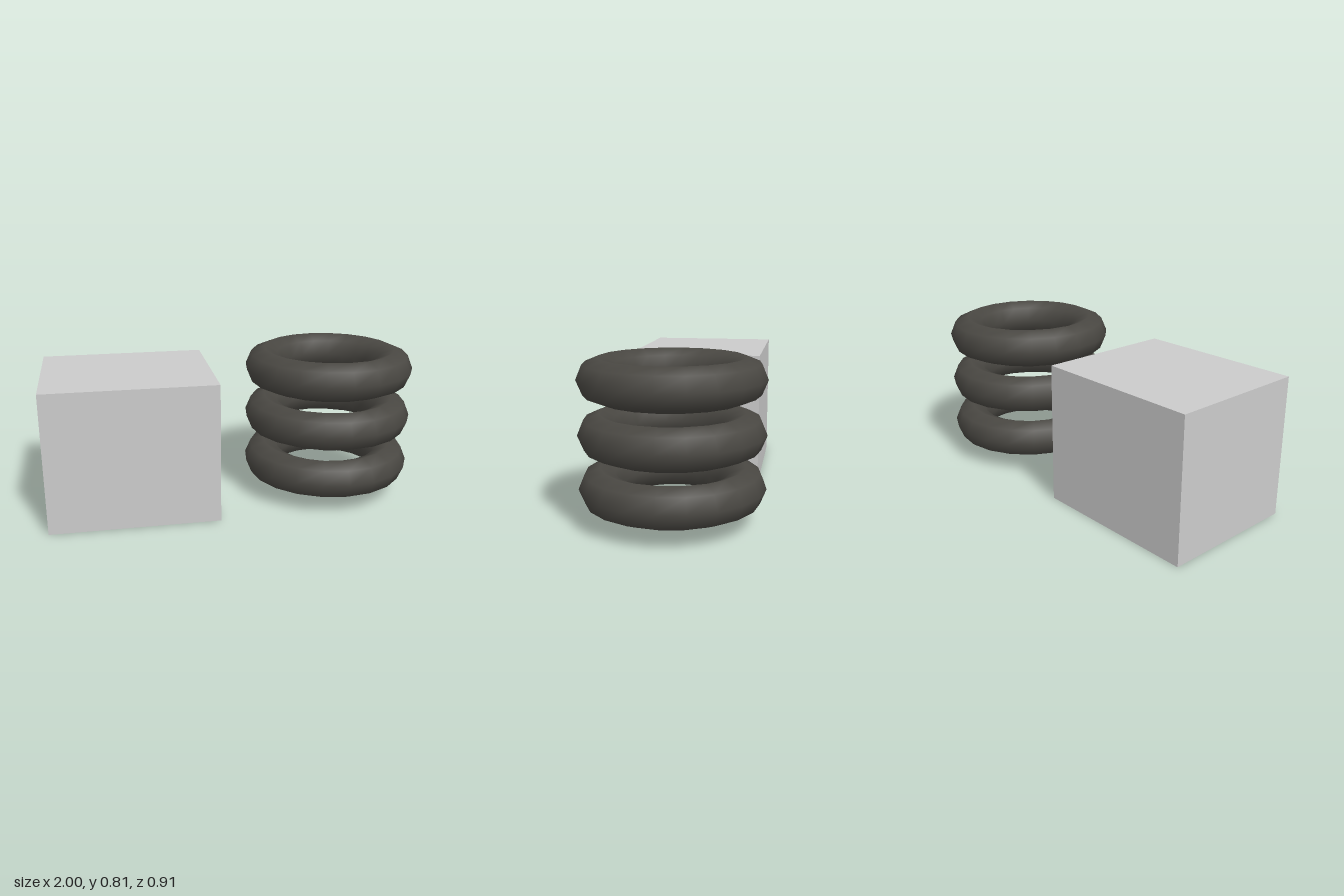
import * as THREE from 'three';

export function createModel() {
  const model = new THREE.Group();

  // Plain block on the model's right
  const block = new THREE.Mesh(
    new THREE.BoxGeometry(0.88, 0.736, 0.736),
    new THREE.MeshStandardMaterial({ color: 0xcccccc })
  );
  block.name = 'block';
  block.position.set(-0.56, 0.368, 0);
  model.add(block);

  // Three evenly spaced dark rings, floating one above another
  const rings = new THREE.Group();
  rings.name = 'ringStack';
  const ringGeometry = new THREE.TorusGeometry(0.353, 0.103, 8, 20).rotateX(-Math.PI / 2);
  const ringMaterial = new THREE.MeshStandardMaterial({ color: 0x4a4843 });
  for (let i = 0; i < 3; i++) {
    const ring = new THREE.Mesh(ringGeometry, ringMaterial);
    ring.name = `ring${i + 1}`;
    ring.position.set(0.544, 0.178 + i * 0.265, 0);
    rings.add(ring);
  }
  model.add(rings);

  return model;
}
